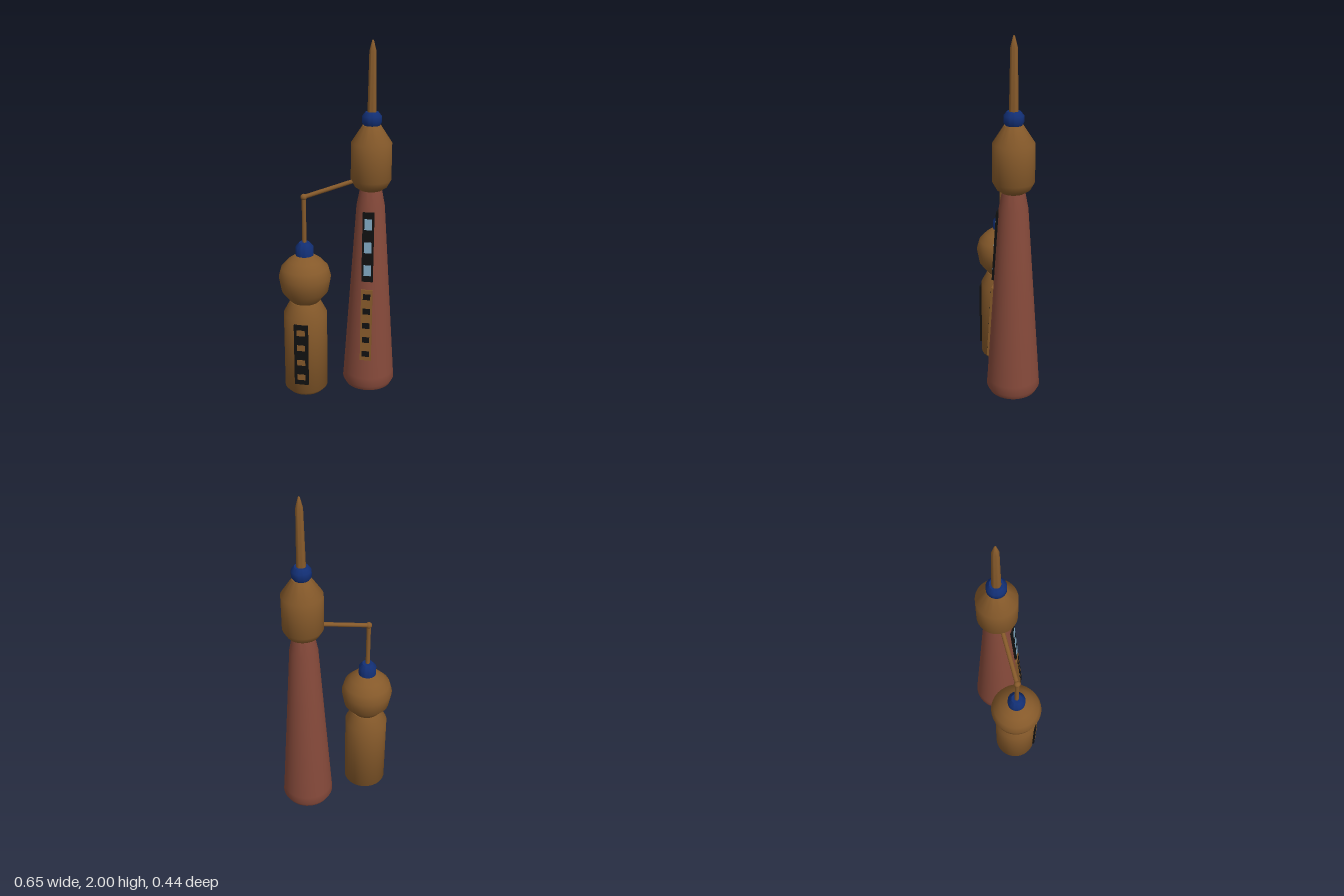
import * as THREE from 'three';
import { toCreasedNormals } from 'three/addons/utils/BufferGeometryUtils.js';

const mat = (name, color) => {
  const m = new THREE.MeshStandardMaterial({ color });
  m.name = name;
  return m;
};

export function createModel() {
  const brown = mat('brown', 0x85592a);
  const brick = mat('brick red', 0x85493a);
  const blue = mat('navy blue', 0x122f75);
  const black = mat('black', 0x111111);
  const glass = mat('pale blue glass', 0x7fa6bf);

  const add = (parent, name, geometry, material) => {
    const mesh = new THREE.Mesh(geometry, material);
    mesh.name = name;
    parent.add(mesh);
    return mesh;
  };

  // Solid of revolution from [radius, height] pairs, bottom to top
  const turned = (parent, name, profile, material, sides = 40) => {
    const points = profile.map(([r, y]) => new THREE.Vector2(r, y));
    return add(parent, name, toCreasedNormals(new THREE.LatheGeometry(points, sides), 0.8), material);
  };

  // Round bar between two points
  const bar = (parent, name, a, b, radius, material) => {
    const dir = b.clone().sub(a);
    const mesh = add(parent, name, new THREE.CylinderGeometry(radius, radius, dir.length(), 16), material);
    mesh.position.copy(a).add(b).multiplyScalar(0.5);
    mesh.quaternion.setFromUnitVectors(new THREE.Vector3(0, 1, 0), dir.normalize());
  };

  // Upright plate with a column of evenly spaced windows on its face
  const windowPanel = (parent, name, o) => {
    const panel = new THREE.Group();
    panel.name = name;
    panel.position.set(0, o.y, o.z);
    panel.rotation.x = -(o.tilt || 0);
    parent.add(panel);
    add(panel, 'windowFrame', new THREE.BoxGeometry(o.width, o.height, 0.03), o.frame).position.z = -0.015;
    for (let i = 0; i < o.count; i++) {
      const pane = add(panel, 'window', new THREE.BoxGeometry(o.paneWidth, o.paneHeight, 0.004), o.pane);
      pane.position.set(0, (i - (o.count - 1) / 2) * o.step, 0.001);
    }
  };

  const model = new THREE.Group();
  model.name = 'twinTowers';

  // Tall tower
  const tall = new THREE.Group();
  tall.name = 'tallTower';
  tall.position.set(0.17, 0, -0.072);
  model.add(tall);
  turned(tall, 'taperedShaft', [[0, 0], [0.135, 0], [0.151, 0.03], [0.147, 0.08],
    [0.079, 1.1], [0.06, 1.2], [0, 1.2]], brick);
  turned(tall, 'upperPod', [[0, 1.19], [0.06, 1.19], [0.09, 1.21], [0.112, 1.25],
    [0.112, 1.455], [0.05, 1.55], [0, 1.55]], brown);
  turned(tall, 'spireCollar', [[0, 1.545], [0.04, 1.545], [0.053, 1.565],
    [0.053, 1.6], [0.036, 1.622], [0, 1.622]], blue);
  turned(tall, 'spire', [[0, 1.61], [0.025, 1.61], [0.019, 1.94], [0.005, 1.995], [0, 2]], brown, 20);

  // Panels lean back with the shaft
  const tilt = Math.atan((0.147 - 0.079) / 1.02);
  const shaftFront = (y) => 0.079 + (1.1 - y) * Math.tan(tilt) + 0.008;
  windowPanel(tall, 'upperWindows', { y: 0.882, z: shaftFront(0.882), tilt, width: 0.064, height: 0.4,
    frame: black, pane: glass, count: 3, step: 0.133, paneWidth: 0.042, paneHeight: 0.062 });
  windowPanel(tall, 'lowerWindows', { y: 0.418, z: shaftFront(0.418), tilt, width: 0.064, height: 0.43,
    frame: brown, pane: black, count: 5, step: 0.087, paneWidth: 0.042, paneHeight: 0.034 });

  // Short tower
  const short = new THREE.Group();
  short.name = 'shortTower';
  short.position.set(-0.178, 0, 0.075);
  model.add(short);
  turned(short, 'lowerDrum', [[0, 0], [0.1, 0], [0.124, 0.025], [0.124, 0.485],
    [0.085, 0.56], [0, 0.57]], brown);
  turned(short, 'dome', [[0, 0.55], [0.08, 0.56], [0.132, 0.625], [0.147, 0.71],
    [0.132, 0.765], [0.095, 0.805], [0.048, 0.838], [0, 0.84]], brown);
  turned(short, 'mastCollar', [[0, 0.83], [0.05, 0.83], [0.05, 0.885], [0.03, 0.91], [0, 0.912]], blue);
  windowPanel(short, 'drumWindows', { y: 0.273, z: 0.13, width: 0.08, height: 0.375,
    frame: black, pane: brown, count: 4, step: 0.093, paneWidth: 0.046, paneHeight: 0.034 });

  // Mast and arm joining the towers
  const elbow = new THREE.Vector3(-0.178, 1.172, 0.075);
  bar(model, 'mast', new THREE.Vector3(-0.178, 0.9, 0.075), elbow, 0.012, brown);
  bar(model, 'connectingArm', elbow, new THREE.Vector3(0.15, 1.265, -0.062), 0.012, brown);
  add(model, 'elbowJoint', new THREE.SphereGeometry(0.018, 16, 12), brown).position.copy(elbow);

  return model;
}
